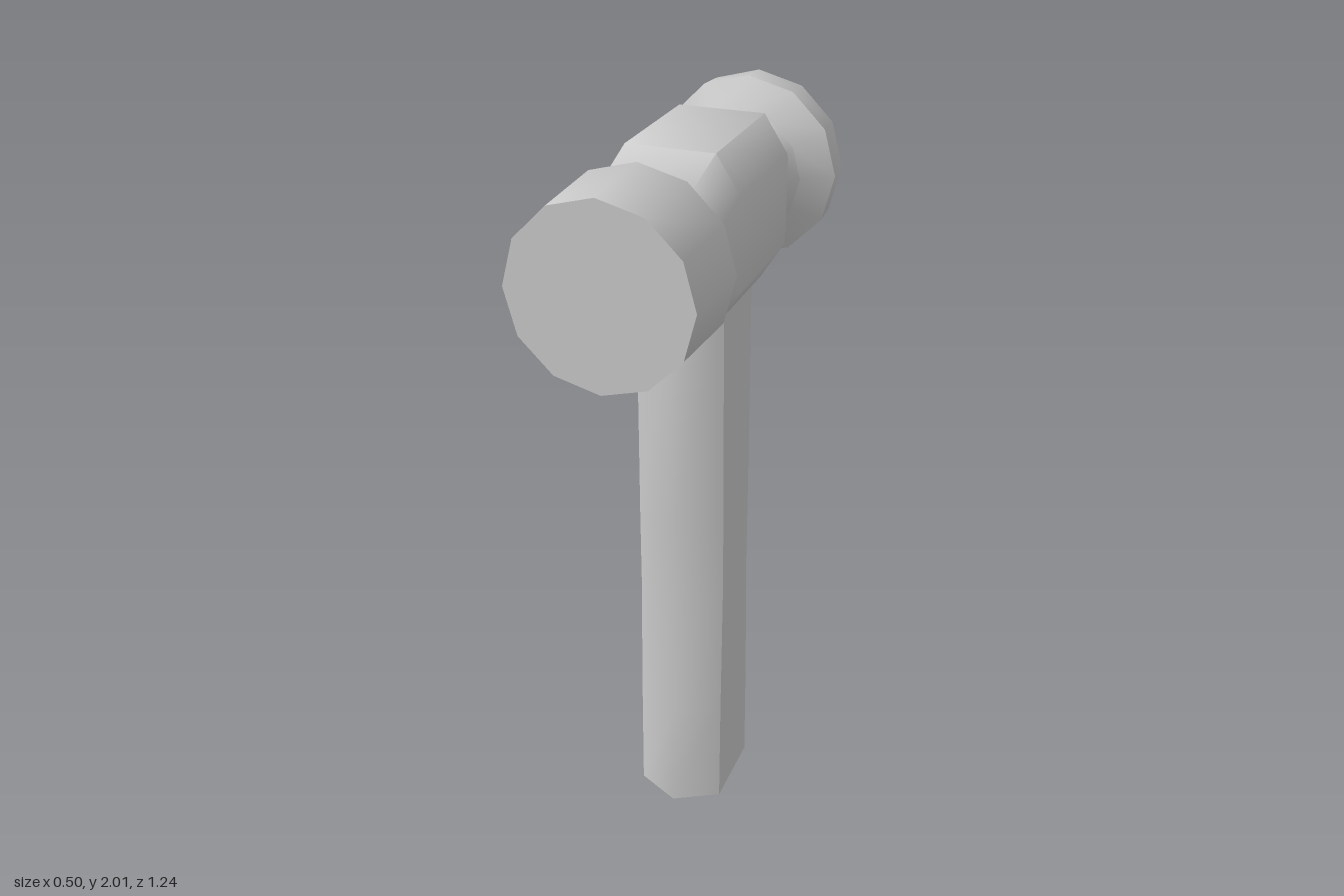
import * as THREE from 'three';
import { toCreasedNormals } from 'three/addons/utils/BufferGeometryUtils.js';

const CREASE = 1.03;
const HEAD_X = -0.005, HEAD_Y = 1.757;

// Skin a list of equal-length point rings; optionally close the first and last ring
function loft(name, rings, material, capStart = true, capEnd = true) {
  const n = rings[0].length, last = (rings.length - 1) * n, index = [];
  for (let i = 0; i < rings.length - 1; i++) {
    for (let j = 0; j < n; j++) {
      const k = (j + 1) % n, a = i * n, b = a + n;
      index.push(a + j, a + k, b + k, a + j, b + k, b + j);
    }
  }
  for (let j = 1; j < n - 1; j++) {
    if (capStart) index.push(0, j + 1, j);
    if (capEnd) index.push(last, last + j, last + j + 1);
  }
  const geometry = new THREE.BufferGeometry();
  geometry.setAttribute('position', new THREE.Float32BufferAttribute(rings.flat(2), 3));
  geometry.setIndex(index);
  const mesh = new THREE.Mesh(toCreasedNormals(geometry, CREASE), material);
  mesh.name = name;
  return mesh;
}

// Twelve-sided ring around the head axis
function roundRing([z, r]) {
  return Array.from({ length: 12 }, (_, i) => {
    const a = (i * Math.PI) / 6;
    return [HEAD_X + r * Math.cos(a), HEAD_Y + r * Math.sin(a), z];
  });
}

// Eight-sided ring: half width, half height and half lengths of its flats
function octagonRing([z, w, h, fx, fy]) {
  return [[w, -fy], [w, fy], [fx, h], [-fx, h], [-w, fy], [-w, -fy], [-fx, -h], [fx, -h]]
    .map(([x, y]) => [HEAD_X + x, HEAD_Y - 0.004 + y, z]);
}

// Six-sided handle ring: flat sides, pointed front and back
function handleRing([y, w, front, back]) {
  const d = 0.066, cx = -0.01;
  return [[w, front - d], [w, back + d], [0, back], [-w, back + d], [-w, front - d], [0, front]]
    .map(([x, z]) => [cx + x, y, z]);
}

export function createModel() {
  const group = new THREE.Group();
  group.name = 'hammer';
  const material = new THREE.MeshStandardMaterial({ color: 0xcccccc });

  // Handle, slightly waisted and swelling at the grip
  group.add(loft('handle', [
    [0, 0.121, 0.187, -0.177],
    [0.32, 0.121, 0.182, -0.174],
    [0.7, 0.121, 0.171, -0.161],
    [0.92, 0.121, 0.172, -0.164],
    [1.56, 0.118, 0.175, -0.172],
  ].map(handleRing), material));

  // Middle of the head, where the handle enters
  group.add(loft('headBody', [
    [-0.27, 0.152, 0.145, 0.085, 0.08],
    [-0.18, 0.177, 0.217, 0.115, 0.12],
    [0.18, 0.177, 0.217, 0.115, 0.12],
    [0.28, 0.167, 0.15, 0.09, 0.085],
  ].map(octagonRing), material));

  // Flat striking face
  group.add(loft('strikingFace',
    [[0.275, 0.163], [0.38, 0.239], [0.617, 0.231]].map(roundRing), material));

  // Neck, collar and rounded peen at the back
  group.add(loft('neck',
    [[-0.335, 0.167], [-0.262, 0.148]].map(roundRing), material, false, true));
  group.add(loft('peenCollar',
    [[-0.39, 0.248], [-0.335, 0.167]].map(roundRing), material, false, false));
  group.add(loft('ballPeen',
    [[-0.62, 0.068], [-0.563, 0.181], [-0.48, 0.242], [-0.39, 0.248]].map(roundRing), material, true, false));

  return group;
}
